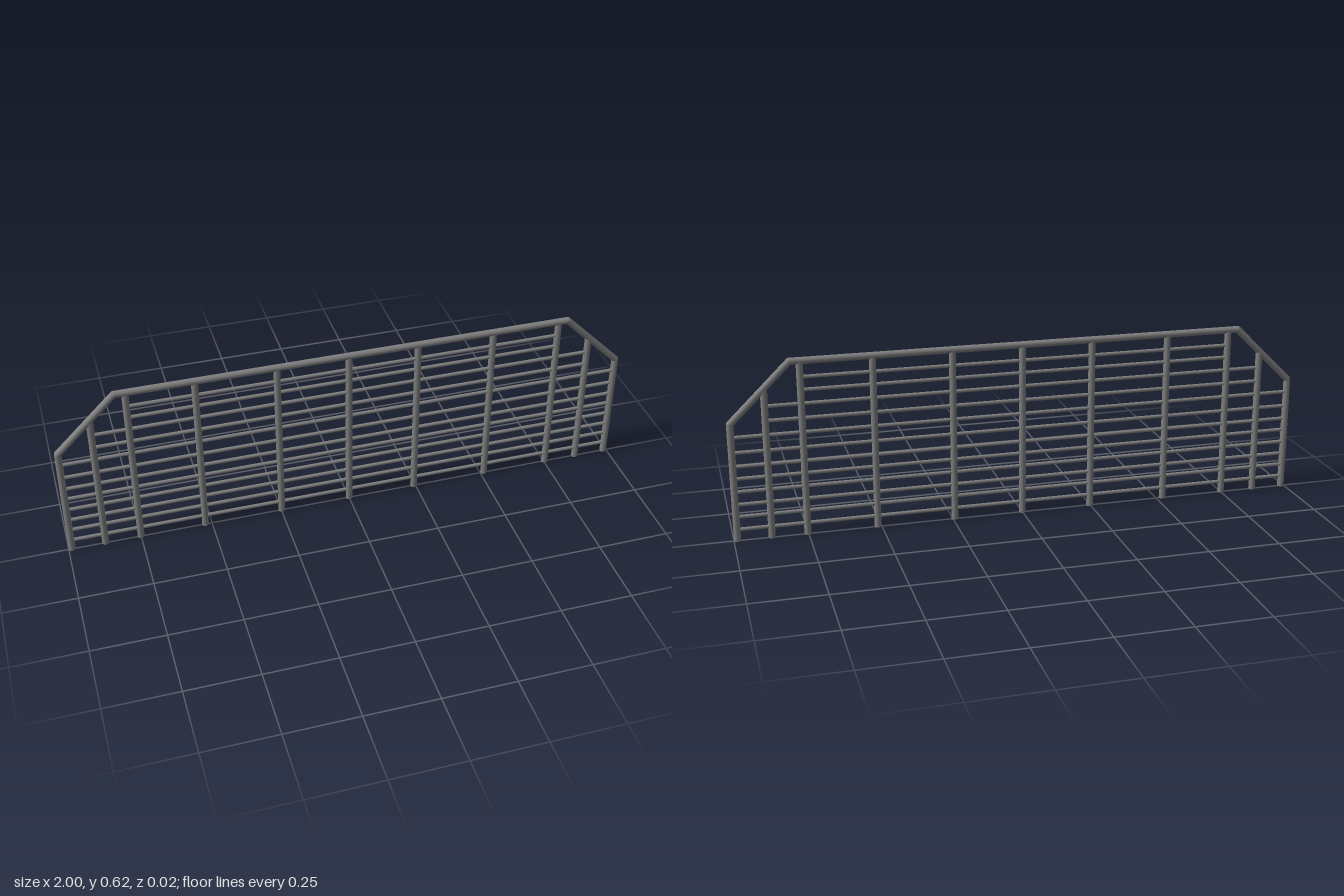
import * as THREE from 'three';

const material = new THREE.MeshStandardMaterial({ color: 0x808080 });
const FRAME_R = 0.012, POST_R = 0.0118, RAIL_R = 0.0065;

// Round bar between two points in the z = 0 plane
function bar(name, x0, y0, x1, y1, radius, sides = 16) {
  const a = new THREE.Vector3(x0, y0, 0), b = new THREE.Vector3(x1, y1, 0);
  const dir = b.clone().sub(a);
  const mesh = new THREE.Mesh(new THREE.CylinderGeometry(radius, radius, dir.length(), sides), material);
  mesh.position.copy(a).add(b).multiplyScalar(0.5);
  mesh.quaternion.setFromUnitVectors(new THREE.Vector3(0, 1, 0), dir.normalize());
  mesh.name = name;
  return mesh;
}

export function createModel() {
  const model = new THREE.Group();
  model.name = 'railingPanel';

  // Outer frame: two end posts, two sloped corners, top bar
  const outline = [[-0.988, 0], [-0.988, 0.41], [-0.786, 0.608], [0.786, 0.608], [0.988, 0.41], [0.988, 0]];
  const names = ['rightEndPost', 'rightSlope', 'topBar', 'leftSlope', 'leftEndPost'];
  const frame = new THREE.Group();
  frame.name = 'outerFrame';
  names.forEach((name, i) => frame.add(bar(name, ...outline[i], ...outline[i + 1], FRAME_R)));

  // Rounded elbows where the frame bends
  for (const [x, y] of outline.slice(1, -1)) {
    const elbow = new THREE.Mesh(new THREE.SphereGeometry(FRAME_R, 16, 12), material);
    elbow.position.set(x, y, 0);
    elbow.name = 'frameElbow';
    frame.add(elbow);
  }
  model.add(frame);

  // Inner posts: the outermost pair stops at the sloped bars
  const posts = new THREE.Group();
  posts.name = 'innerPosts';
  for (const x of [-0.873, -0.75, -0.523, -0.248, 0, 0.243, 0.513, 0.753, 0.873]) {
    const top = Math.abs(x) > 0.8 ? 0.522 : 0.606;
    posts.add(bar('innerPost', x, 0, x, top, POST_R));
  }
  model.add(posts);

  // Horizontal rails, shorter toward the top
  const rails = new THREE.Group();
  rails.name = 'rails';
  for (const y of [0.04, 0.085, 0.128, 0.173, 0.219, 0.262, 0.31, 0.363, 0.412, 0.462, 0.509, 0.553]) {
    const half = y < 0.4 ? 0.988 : y < 0.48 ? 0.873 : 0.751;
    rails.add(bar('rail', -half, y, half, y, RAIL_R, 12));
  }
  model.add(rails);

  return model;
}
